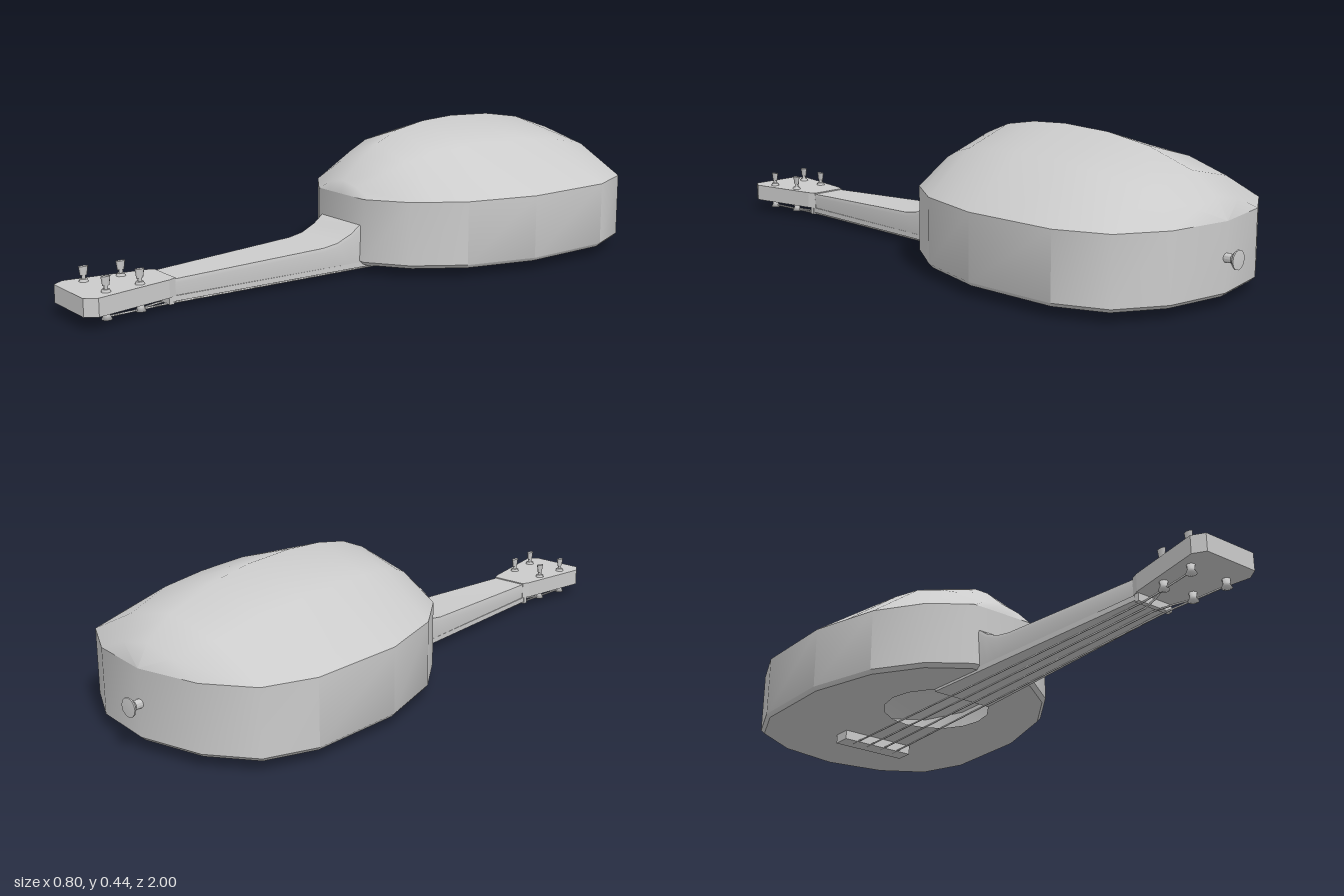
import * as THREE from 'three';
import { toCreasedNormals } from 'three/addons/utils/BufferGeometryUtils.js';

const V = (x, y, z) => new THREE.Vector3(x, y, z);

// Half outline of the body, back to front: [x, z]
const HALF = [[0, -0.96], [0.2, -0.925], [0.34, -0.84], [0.402, -0.69], [0.402, -0.39],
  [0.337, -0.165], [0.237, -0.02], [0.115, 0.066]];
const OUTLINE = [...HALF, ...HALF.slice(1).reverse().map(([x, z]) => [-x, z])];
// Ridge of the domed back: [z, y]
const RIDGE = [[-0.96, 0.245], [-0.925, 0.305], [-0.84, 0.367], [-0.69, 0.418], [-0.55, 0.441],
  [-0.39, 0.449], [-0.27, 0.443], [-0.165, 0.425], [-0.08, 0.39], [-0.02, 0.352], [0.055, 0.285], [0.066, 0.245]];

function widthAt(z) {
  for (let i = 1; i < HALF.length; i++) {
    const [x0, z0] = HALF[i - 1], [x1, z1] = HALF[i];
    if (z <= z1) return x0 + (x1 - x0) * (z - z0) / (z1 - z0);
  }
  return HALF[HALF.length - 1][0];
}

// Surface through rows of points; closed joins each row into a loop
function loft(rows, closed) {
  const n = rows[0].length, index = [];
  for (let i = 0; i < rows.length - 1; i++) {
    for (let j = 0; j < (closed ? n : n - 1); j++) {
      const k = (j + 1) % n;
      const a = i * n + j, b = a + n, c = i * n + k, d = c + n;
      index.push(a, b, c, c, b, d);
    }
  }
  const g = new THREE.BufferGeometry().setFromPoints(rows.flat());
  g.setIndex(index);
  g.computeVertexNormals();
  return g;
}

export function createModel() {
  const group = new THREE.Group();
  const solid = new THREE.MeshStandardMaterial({ color: 0xcccccc });
  const shell = new THREE.MeshStandardMaterial({ color: 0xcccccc, side: THREE.DoubleSide });
  const add = (name, geometry, material = solid, parent = group) => {
    const mesh = new THREE.Mesh(geometry, material);
    mesh.name = name;
    parent.add(mesh);
    return mesh;
  };
  const box = (name, w, h, d, x, y, z) =>
    add(name, new THREE.BoxGeometry(w, h, d)).position.set(x, y, z);

  // Domed back of the bowl
  const across = [[-1, 0], [-0.5, 0.69], [0, 1], [0.5, 0.69], [1, 0]];
  add('bowlBack', loft(RIDGE.map(([z, y]) =>
    across.map(([u, h]) => V(u * widthAt(z), 0.245 + h * (y - 0.245), z)))), shell);

  // Side wall with a small bevel towards the soundboard
  const ring = (y, s) => OUTLINE.map(([x, z]) => V(x * s, y, -0.45 + (z + 0.45) * s));
  add('bodySide', toCreasedNormals(loft([ring(0.035, 0.975), ring(0.047, 1), ring(0.245, 1)], true), 0.7), shell);

  // Soundboard with its round hole
  const board = new THREE.Shape(ring(0, 0.975).map(p => new THREE.Vector2(p.x, p.z)));
  board.holes.push(new THREE.Path().absarc(0, -0.29, 0.17, 0, Math.PI * 2, true));
  add('soundboard', new THREE.ShapeGeometry(board, 8).rotateX(Math.PI / 2).translate(0, 0.035, 0), shell);

  // Neck with a curved heel: [z, half width, top]
  const neck = [[0.04, 0.101, 0.17], [0.07, 0.1, 0.16], [0.1, 0.098, 0.138], [0.15, 0.095, 0.116],
    [0.2, 0.092, 0.108], [0.71, 0.06, 0.092]];
  add('neck', toCreasedNormals(loft(neck.map(([z, w, t]) =>
    [V(-w * 0.94, 0.041, z), V(-w, t - 0.012, z), V(-w * 0.97, t, z),
      V(w * 0.97, t, z), V(w, t - 0.012, z), V(w * 0.94, 0.041, z)]), true), 0.6), shell);

  // Fingerboard, running over the soundboard to the hole
  const finger = [[-0.15, 0.106], [0.71, 0.06]];
  const fingerShape = new THREE.Shape([[-0.106, -0.15], [0.106, -0.15], [0.06, 0.71], [-0.06, 0.71]]
    .map(p => new THREE.Vector2(...p)));
  const slab = (shape, h, top) => new THREE.ExtrudeGeometry(shape, { depth: h, bevelEnabled: false })
    .rotateX(Math.PI / 2).translate(0, top, 0);
  add('fingerboard', slab(fingerShape, 0.016, 0.043));

  // Headstock
  const head = [[-0.06, 0.7], [0.06, 0.7], [0.07, 0.725], [0.11, 0.965], [0.088, 1], [-0.088, 1], [-0.11, 0.965], [-0.07, 0.725]];
  add('headstock', slab(new THREE.Shape(head.map(p => new THREE.Vector2(...p))), 0.053, 0.096));

  box('nut', 0.125, 0.024, 0.015, 0, 0.032, 0.715);
  box('bridge', 0.258, 0.032, 0.06, 0, 0.021, -0.66);

  // Tuners: button above the headstock, flared string post below
  const post = [[0, 0.045], [0.012, 0.045], [0.01, 0.03], [0.016, 0.018], [0, 0.016]]
    .map(p => new THREE.Vector2(...p)).reverse();
  const pegs = [[-0.066, 0.92], [-0.055, 0.81], [0.055, 0.81], [0.066, 0.92]];
  pegs.forEach(([x, z]) => {
    const tuner = new THREE.Group();
    tuner.name = 'tuner';
    tuner.position.set(x, 0, z);
    group.add(tuner);
    add('collar', new THREE.CylinderGeometry(0.011, 0.014, 0.008, 10), solid, tuner).position.y = 0.1;
    add('stem', new THREE.CylinderGeometry(0.006, 0.006, 0.025, 8), solid, tuner).position.y = 0.108;
    const button = add('button', new THREE.CylinderGeometry(0.015, 0.011, 0.026, 8), solid, tuner);
    button.position.y = 0.127;
    button.scale.x = 0.5;
    add('stringPost', new THREE.LatheGeometry(post, 10), shell, tuner);
  });

  // Strings from post over the nut to the bridge
  pegs.forEach(([x, z], i) => {
    const u = i - 1.5;
    const path = new THREE.CurvePath();
    const pts = [V(x, 0.025, z), V(u * 0.03, 0.02, 0.715), V(u * 0.053, 0.007, -0.66)];
    path.add(new THREE.LineCurve3(pts[0], pts[1]));
    path.add(new THREE.LineCurve3(pts[1], pts[2]));
    add('string', new THREE.TubeGeometry(path, 24, 0.003, 5));
  });

  // Strap button at the tail
  const knob = [[0, -0.02], [0.014, -0.02], [0.013, 0.022], [0.028, 0.036], [0.028, 0.04], [0, 0.042]]
    .map(p => new THREE.Vector2(...p));
  const strap = add('strapButton', toCreasedNormals(new THREE.LatheGeometry(knob, 12), 0.6));
  strap.rotation.x = -Math.PI / 2;
  strap.position.set(0, 0.145, -0.958);

  return group;
}
